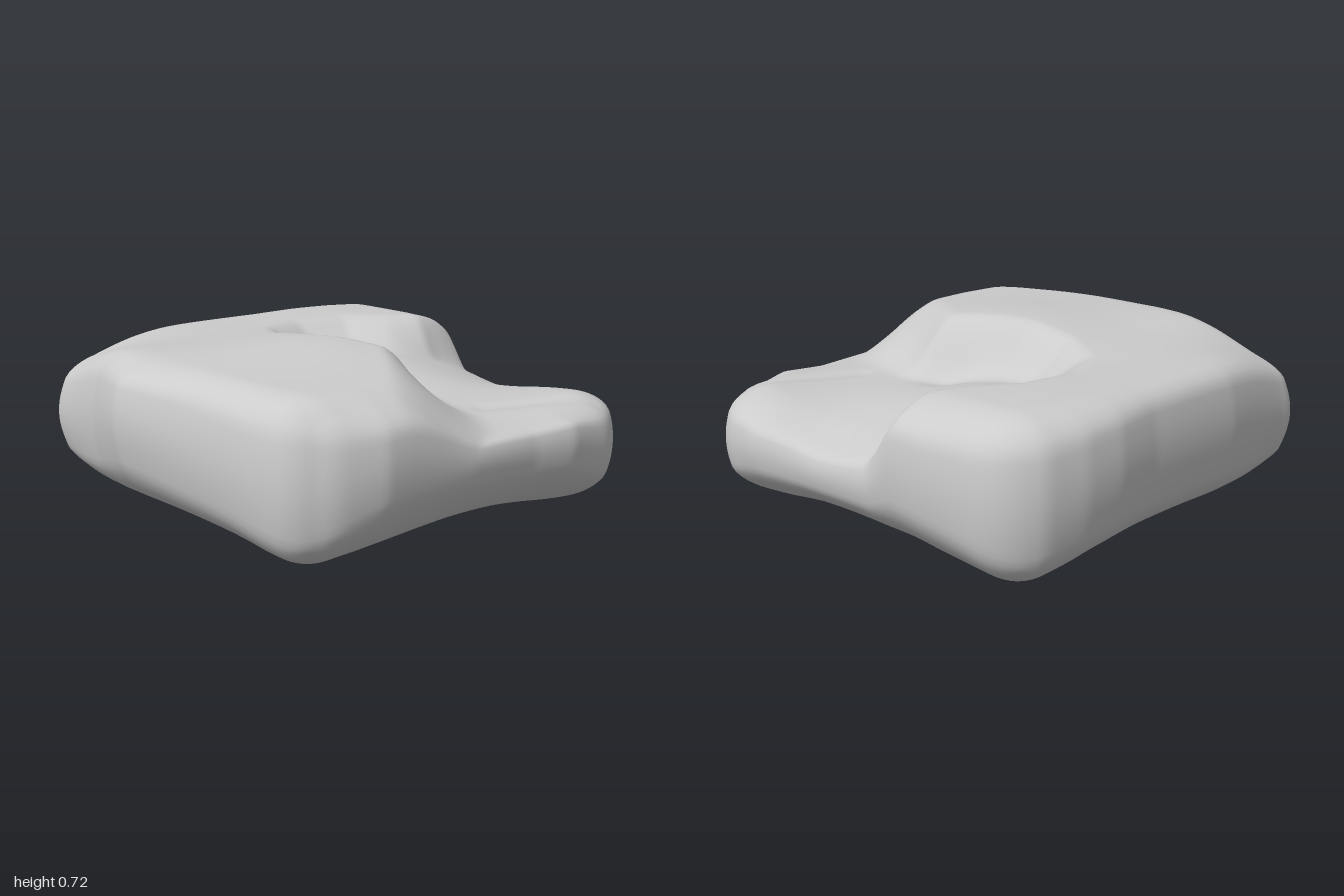
import * as THREE from 'three';
import { mergeVertices } from 'three/addons/utils/BufferGeometryUtils.js';

const { smoothstep, clamp, lerp } = THREE.MathUtils;
const bump = (x, z, cx, cz, r) => Math.exp(-((x - cx) ** 2 + (z - cz) ** 2) / (r * r));

// Value along a list of [position, value] pairs
function profile(points, s) {
  if (s <= points[0][0]) return points[0][1];
  for (let i = 1; i < points.length; i++) {
    const [a, va] = points[i - 1], [b, vb] = points[i];
    if (s <= b) return lerp(va, vb, (s - a) / (b - a));
  }
  return points[points.length - 1][1];
}

// Plan extents of the four sides
const leftSide = [[-0.95, 0.89], [-0.5, 0.96], [0, 0.965], [0.3, 0.96], [0.54, 0.995], [0.75, 0.97], [0.95, 0.91]];
const rightSide = [[-0.9, 0.88], [-0.5, 0.92], [-0.17, 1.0], [0.3, 0.94], [0.7, 0.89], [0.95, 0.83]];
const frontSide = [[-0.9, 0.86], [-0.6, 0.935], [-0.1, 0.945], [0.3, 0.935], [0.52, 0.96], [0.9, 0.89]];
const backSide = [[-0.85, 0.92], [-0.36, 0.96], [0.2, 0.945], [0.45, 0.96], [0.65, 0.945], [0.9, 0.89]];

// Outline of the sunken hollow in the top, open to the front and left
const hollow = [[-0.42, 1.2], [-0.3, 0.82], [-0.05, 0.5], [0.06, 0.34], [0.0, 0.15], [-0.07, -0.05], [-0.06, -0.25],
  [0.03, -0.42], [0.2, -0.49], [0.42, -0.45], [0.58, -0.31], [0.72, -0.23], [1.3, -0.24], [1.3, 1.2]];

function segmentDistance(x, z, [ax, az], [bx, bz]) {
  const dx = bx - ax, dz = bz - az;
  const t = clamp(((x - ax) * dx + (z - az) * dz) / (dx * dx + dz * dz), 0, 1);
  return Math.hypot(x - ax - t * dx, z - az - t * dz);
}

// Distance to the hollow's outline, positive inside
function hollowDepth(x, z) {
  let inside = false, d = Infinity;
  hollow.forEach((a, i) => {
    const b = hollow[(i + 1) % hollow.length];
    d = Math.min(d, segmentDistance(x, z, a, b));
    if ((a[1] > z) !== (b[1] > z) && x < a[0] + ((z - a[1]) * (b[0] - a[0])) / (b[1] - a[1])) inside = !inside;
  });
  return inside ? d : -d;
}

function topHeight(x, z) {
  const high = 0.67 + 0.06 * bump(x, z, -0.12, 0.12, 0.42) + 0.02 * bump(x, z, -0.65, 0.1, 0.45)
    + 0.01 * bump(x, z, 0.5, -0.6, 0.3) - 0.15 * bump(x, z, -0.95, -0.95, 0.36)
    + 0.02 * bump(x, z, -0.8, -0.4, 0.25)
    - 0.02 * smoothstep(z, 0.6, 0.95) - 0.02 * smoothstep(-x, 0.75, 0.95);
  const low = 0.46 + 0.1 * bump(x, z, 0.36, -0.28, 0.42) - 0.06 * bump(x, z, 0.9, 0.12, 0.3)
    + 0.03 * bump(x, z, 0.8, 0.8, 0.3) - 0.03 * bump(x, z, 0.14, 0.2, 0.1)
    - 0.012 * Math.exp(-((segmentDistance(x, z, [0.3, 0.6], [0.75, 0.8]) / 0.04) ** 2));
  const width = 0.19 + 0.18 * smoothstep(z, 0.3, 0.9) - 0.1 * smoothstep(x, 0.5, 0.8);
  return lerp(high, low, smoothstep(hollowDepth(x, z), -0.08, width));
}

// Underside: low lobes reaching into the corners and arched edges
function bottomHeight(x, z) {
  const lobes = [[-0.4, 0.55], [-0.4, -0.45], [0.65, 0.6], [0.6, -0.5]];
  const corners = [[-0.85, 0.85, 0.07], [0.85, -0.85, 0.06], [0.88, 0.88, 0.04], [-0.95, -0.95, -0.07]];
  const x2 = x * x, z2 = z * z;
  let y = 0.05 + (z > 0 ? 0.26 : 0.15) * z2 ** 3 * (1 - x2) + (x < 0 ? 0.2 : 0.15) * x2 ** 3 * (1 - z2)
    + 0.02 * x2 * x2 * z2 * z2;
  for (const [cx, cz] of lobes) y -= 0.035 * bump(x, z, cx, cz, 0.3);
  for (const [cx, cz, drop] of corners) y -= drop * bump(x, z, cx, cz, 0.27);
  return y;
}

function rockGeometry() {
  let geo = new THREE.BoxGeometry(2, 1, 2, 72, 18, 72);
  geo.deleteAttribute('uv');
  geo.deleteAttribute('normal');
  geo = mergeVertices(geo, 1e-4);
  const pos = geo.attributes.position;
  const p = new THREE.Vector3(), core = new THREE.Vector3();
  for (let i = 0; i < pos.count; i++) {
    p.fromBufferAttribute(pos, i);
    // Round the block, tighter towards the back right corner
    const r = lerp(0.23, 0.12, smoothstep(-0.6 * (p.x + p.z), -0.3, 0.6));
    core.set(clamp(p.x, r - 1, 1 - r), clamp(p.y, r - 0.5, 0.5 - r), clamp(p.z, r - 1, 1 - r));
    p.sub(core).setLength(r).add(core);
    // Bend the sides to their outlines, fullest at mid height
    const t = p.y + 0.5, full = 1 - 0.05 * (2 * t - 1) ** 2;
    const x = p.x * full * profile(p.x > 0 ? leftSide : rightSide, p.z);
    const z = p.z * full * profile(p.z > 0 ? frontSide : backSide, p.x);
    pos.setXYZ(i, x, lerp(bottomHeight(x, z), topHeight(x, z), t), z);
  }
  geo.computeBoundingBox();
  geo.translate(0, -geo.boundingBox.min.y, 0);
  geo.computeVertexNormals();
  return geo;
}

export function createModel() {
  const group = new THREE.Group();
  group.name = 'rock';
  const slab = new THREE.Mesh(rockGeometry(), new THREE.MeshStandardMaterial({ color: 0xcccccc }));
  slab.name = 'rockSlab';
  group.add(slab);
  return group;
}
